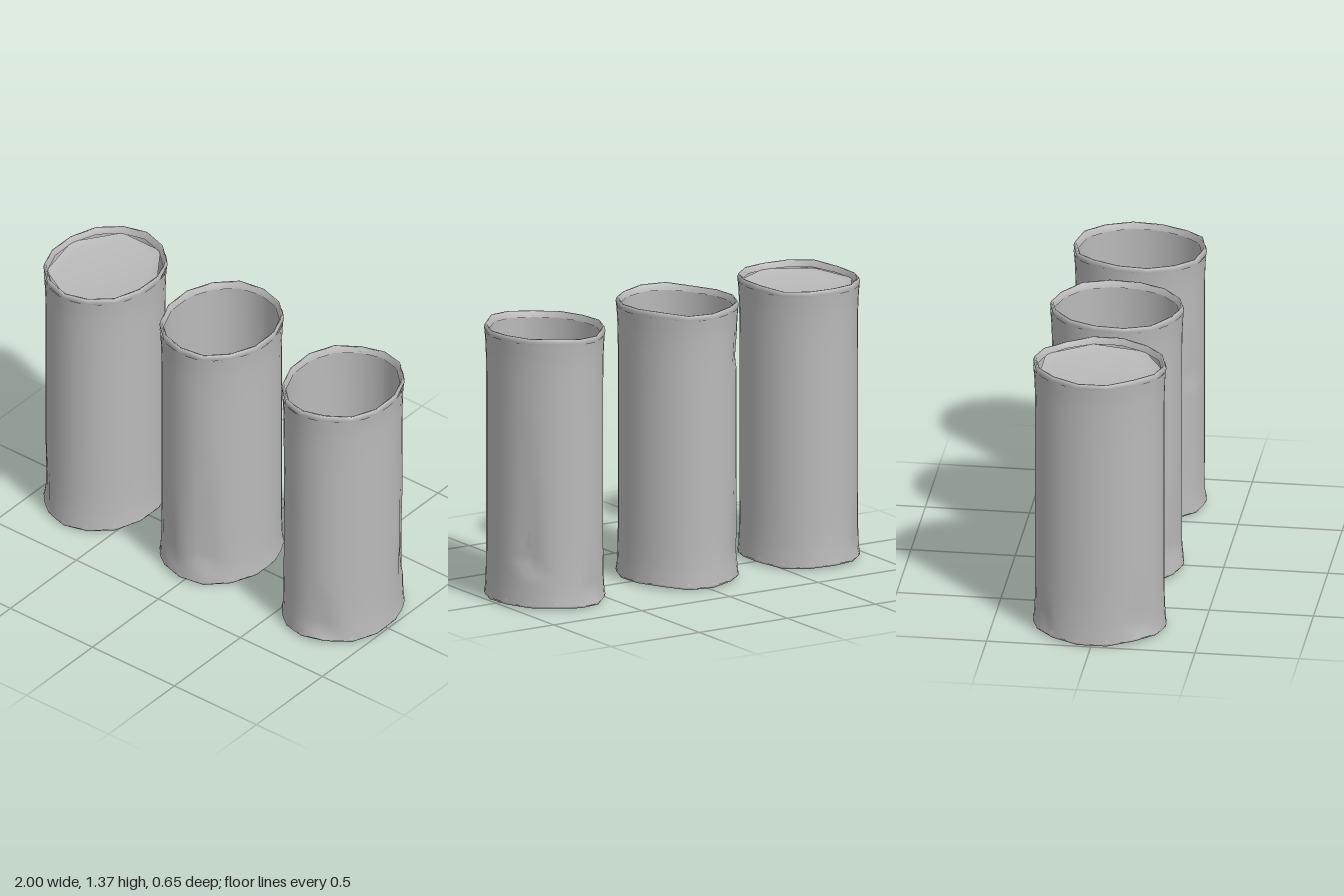
import * as THREE from 'three';
import { mergeVertices } from 'three/addons/utils/BufferGeometryUtils.js';

const metal = new THREE.MeshStandardMaterial({ color: 0xbababa, side: THREE.DoubleSide });
metal.name = 'plain grey metal';

// Revolved piece, optionally bent by a rule, with smooth normals across the seam
function revolve(name, profile, sides, bend) {
  const lathe = new THREE.LatheGeometry(profile.map(([r, y]) => new THREE.Vector2(r, y)), sides);
  lathe.deleteAttribute('uv');
  lathe.deleteAttribute('normal');
  const geo = mergeVertices(lathe, 1e-4);
  if (bend) {
    const p = geo.attributes.position;
    for (let i = 0; i < p.count; i++) {
      const [x, y, z] = bend(p.getX(i), p.getY(i), p.getZ(i));
      p.setXYZ(i, x, y, z);
    }
  }
  geo.computeVertexNormals();
  const mesh = new THREE.Mesh(geo, metal);
  mesh.name = name;
  return mesh;
}

// Angle measured from +x towards +z; dents narrow towards their upper end
function dentDepth(dents, angle, y) {
  let depth = 0;
  for (const [a, y0, y1, width, amount] of dents) {
    if (y < y0 || y > y1) continue;
    const t = (y - y0) / (y1 - y0);
    const d = Math.abs(Math.atan2(Math.sin(angle - a), Math.cos(angle - a)));
    depth += amount * (1 - t) * Math.max(0, 1 - d / (width * (1.05 - t)));
  }
  return depth;
}

// Slightly uneven heights around the ends
const wobble = (angle, seed) => 0.006 * Math.sin(3 * angle + seed) + 0.004 * Math.sin(5 * angle + 2 * seed);

function makeCan({ name, x, z, rx, rz, height, seed, dents, lid, domed }) {
  const can = new THREE.Group();
  can.name = name;
  const bend = (px, py, pz) => {
    const angle = Math.atan2(pz, px);
    const s = 1 - dentDepth(dents, angle, py);
    const end = Math.max(0, Math.abs(py / height - 0.5) * 2 - 0.9) * 10;
    return [px * s, py + end * wobble(angle, seed) * (Math.hypot(px, pz) > 0.9 ? 1 : 0), pz * s];
  };

  // Outer wall, gently waisted between its ends
  const wall = [];
  const rows = 26;
  for (let i = 0; i <= rows; i++) {
    const y = 0.02 + (height - 0.05) * i / rows;
    const e = Math.abs(i / rows - 0.5) * 2;
    wall.push([0.962 + 0.03 * Math.pow(e, 8), y]);
  }
  can.add(revolve('wall', wall, 40, bend));

  // Faceted rims, rolled inwards
  can.add(revolve('topRim', [[0.985, height - 0.04], [1, height - 0.022], [0.985, height - 0.005],
    [0.955, height - 0.006], [0.925, height - 0.035]], 14, bend));
  can.add(revolve('bottomRim', [[0.9, 0.035], [0.96, 0.012], [0.99, 0.012], [1, 0.025], [0.975, 0.05]], 14, bend));

  // Closed lid, or an open inside with a rounded floor
  if (lid) {
    can.add(revolve('lid', [[0.95, height - 0.035], [0.8, height - 0.05], [0, height - 0.055]], 7));
  } else {
    can.add(revolve('inside', [[0.93, height - 0.03], [0.92, 0.8], [0.92, 0.3], [0.75, 0.18],
      [0.4, 0.11], [0, 0.09]], 28));
  }

  // Underside
  can.add(revolve('base', domed
    ? [[0, 0.085], [0.5, 0.072], [0.8, 0.052], [0.94, 0.025]]
    : [[0, 0.04], [0.94, 0.025]], 14));

  can.scale.set(rx, 1, rz);
  can.position.set(x, 0, z);
  return can;
}

export function createModel() {
  const model = new THREE.Group();
  model.name = 'three cans';
  // Each dent: angle, lower y, upper y, half width, depth
  const cans = [
    { name: 'rightCan', x: -0.72, z: 0.005, rx: 0.28, rz: 0.32, height: 1.375, seed: 1, lid: true, domed: true,
      dents: [[2.3, 0.05, 0.4, 0.35, 0.05], [-2.2, 0.06, 0.25, 0.3, 0.04]] },
    { name: 'middleCan', x: -0.022, z: -0.008, rx: 0.28, rz: 0.322, height: 1.36, seed: 2.4, lid: false, domed: false,
      dents: [[1.1, 0.1, 0.8, 0.35, 0.05], [1.95, 0.1, 0.58, 0.4, 0.05], [-2.3, 0.1, 0.6, 0.3, 0.05],
        [-2.4, 1.05, 1.25, 0.4, 0.05]] },
    { name: 'leftCan', x: 0.725, z: 0, rx: 0.275, rz: 0.32, height: 1.335, seed: 4, lid: false, domed: true,
      dents: [[-0.65, 0.19, 1.0, 0.3, 0.07], [1.2, 0.04, 0.36, 0.4, 0.06], [2.1, 0.7, 1.0, 0.3, 0.04],
        [-1.9, 0.05, 0.25, 0.4, 0.05]] },
  ];
  cans.forEach((c) => model.add(makeCan(c)));
  return model;
}
